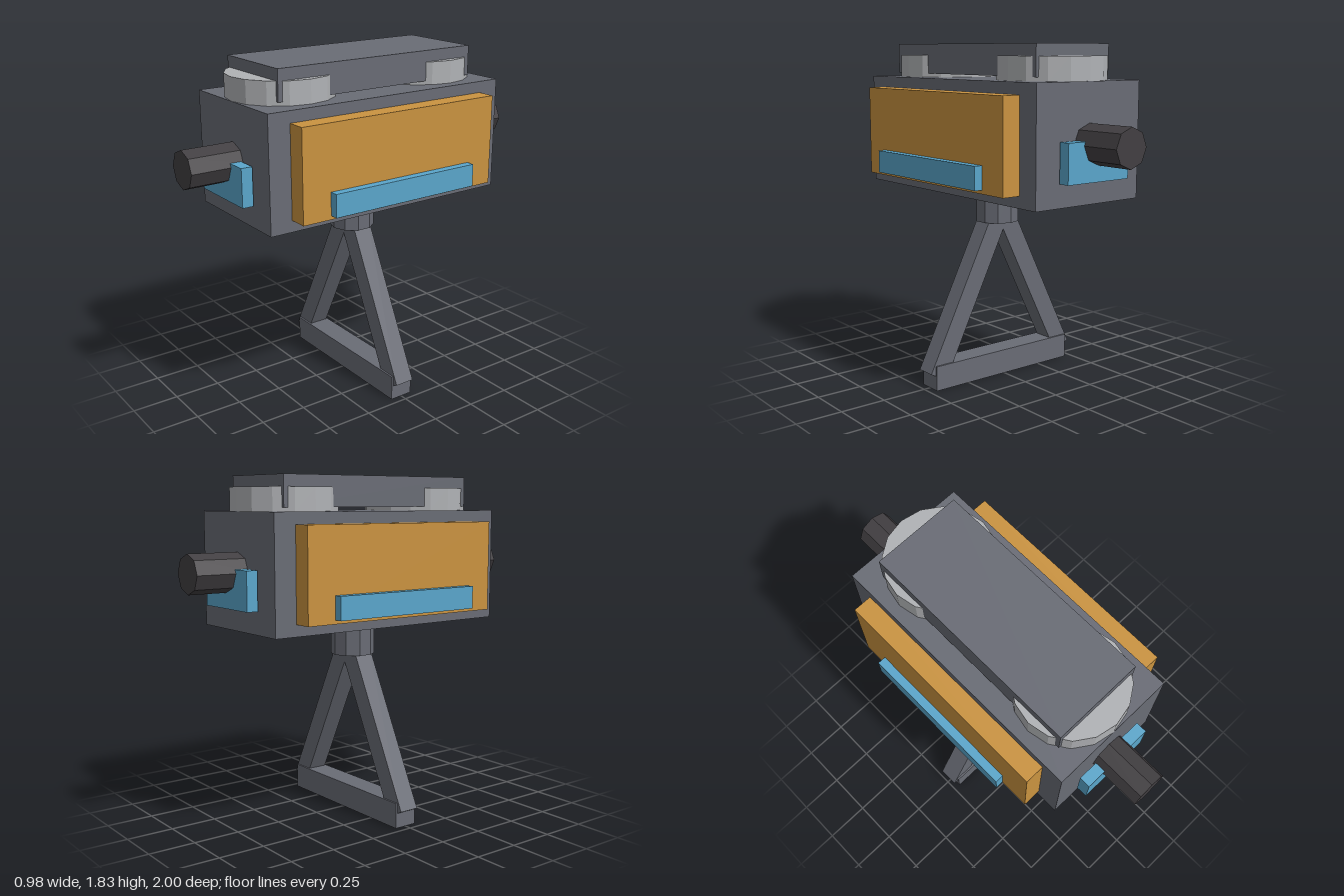
import * as THREE from 'three';

const mat = (name, color) => {
  const m = new THREE.MeshStandardMaterial({ color });
  m.name = name;
  m.flatShading = true;
  return m;
};

export function createModel() {
  const group = new THREE.Group();
  const grey = mat('slate grey', 0x696c75);
  const light = mat('light grey', 0xb0b2b5);
  const dark = mat('charcoal', 0x423f42);
  const orange = mat('ochre', 0xca9340);
  const blue = mat('sky blue', 0x5aa6cb);

  const add = (name, geometry, material, x, y, z) => {
    const mesh = new THREE.Mesh(geometry, material);
    mesh.name = name;
    mesh.position.set(x, y, z);
    group.add(mesh);
    return mesh;
  };
  const box = (name, material, w, h, d, x, y, z) =>
    add(name, new THREE.BoxGeometry(w, h, d), material, x, y, z);

  // Main housing and top cover
  box('body', grey, 0.68, 0.6, 1.44, 0, 1.35, 0);
  box('topCover', grey, 0.48, 0.16, 1.2, 0, 1.75, 0);

  // Stand: neck, foot bar and two slanted legs
  add('neck', new THREE.CylinderGeometry(0.12, 0.12, 0.18, 10), grey, 0, 0.96, 0);
  box('footBar', grey, 0.92, 0.135, 0.13, 0, 0.0675, 0);
  const legTop = new THREE.Vector2(0, 0.95);
  const legFoot = new THREE.Vector2(0.44, 0.07);
  const legLength = legTop.distanceTo(legFoot);
  const legTilt = Math.atan2(legFoot.x - legTop.x, legTop.y - legFoot.y);

  for (const s of [1, -1]) {
    const side = s > 0 ? 'left' : 'right';
    const end = s > 0 ? 'front' : 'back';

    const leg = box(side + 'Leg', grey, 0.11, legLength, 0.11, s * 0.22, 0.51, 0);
    leg.rotation.z = s * legTilt;

    // Side panels with their light strips
    box(side + 'Panel', orange, 0.1, 0.48, 1.2, s * 0.39, 1.35, 0);
    box(side + 'Strip', blue, 0.046, 0.12, 0.88, s * 0.462, 1.19, 0);

    // End plates, barrels and top discs
    box(end + 'Plate', blue, 0.4, 0.2, 0.06, 0, 1.27, s * 0.76);
    const barrel = add(end + 'Barrel', new THREE.CylinderGeometry(0.1, 0.1, 0.34, 8), dark, 0, 1.35, s * 0.83);
    barrel.rotation.x = Math.PI / 2;
    add(end + 'Disc', new THREE.CylinderGeometry(0.28, 0.28, 0.12, 16), light, 0, 1.71, s * 0.44);
  }
  return group;
}
